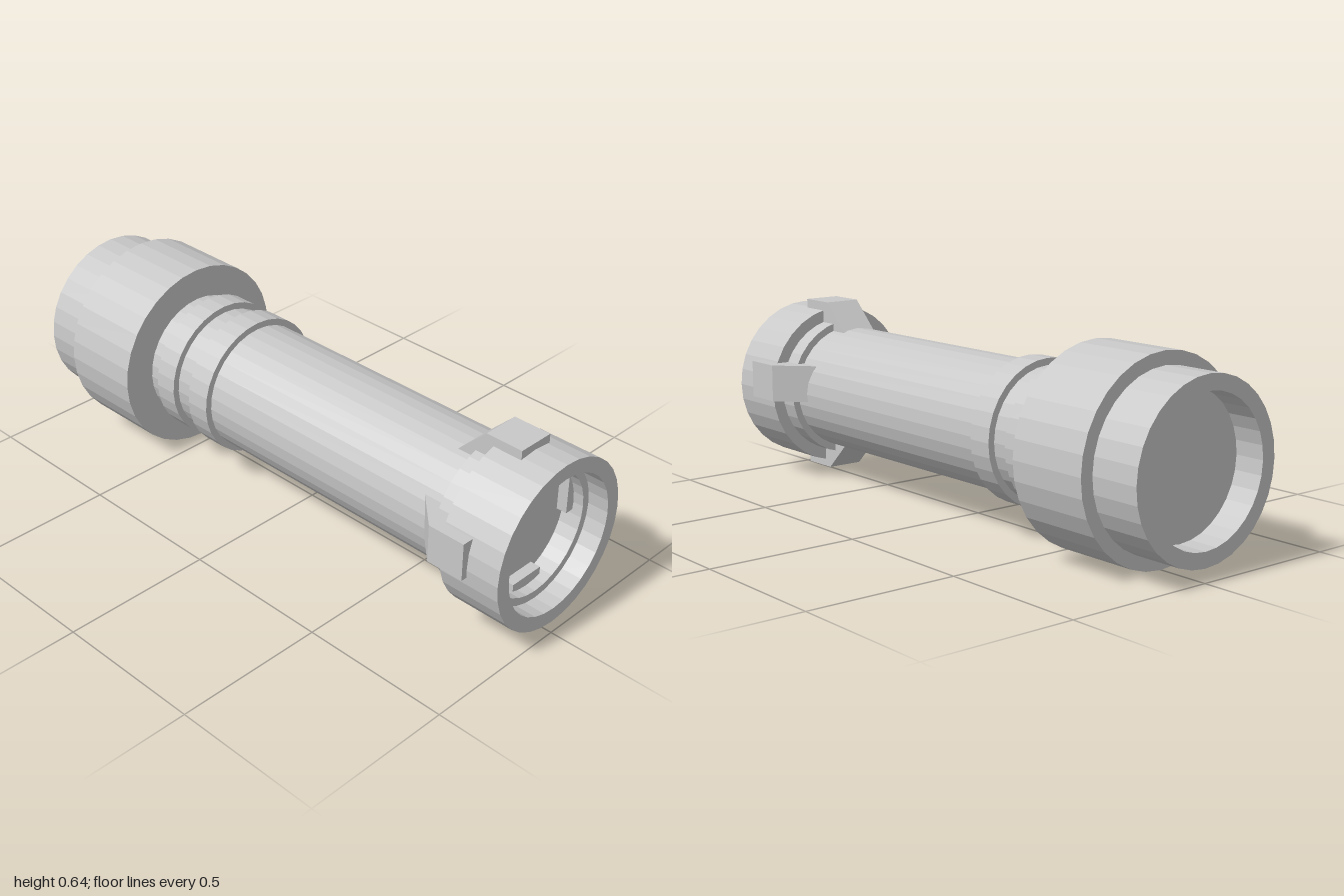
import * as THREE from 'three';

const AXIS_Y = 0.32;

export function createModel() {
  const model = new THREE.Group();
  model.name = 'cylinderHandle';
  const grey = new THREE.MeshStandardMaterial({ color: 0xc8c8c8, flatShading: true });
  grey.name = 'lightGrey';

  // All parts are built around the z axis, then lifted onto the ground
  const body = new THREE.Group();
  body.name = 'body';
  body.position.y = AXIS_Y;
  model.add(body);

  const add = (name, geometry, parent = body) => {
    const mesh = new THREE.Mesh(geometry, grey);
    mesh.name = name;
    parent.add(mesh);
    return mesh;
  };

  // Turned part from [radius, z] pairs, running from back to front
  const turned = (name, profile) => {
    const points = profile.map(([r, z]) => new THREE.Vector2(r, z));
    add(name, new THREE.LatheGeometry(points, 32).rotateX(Math.PI / 2));
  };

  // Hollow rear cap
  turned('rearCap', [[0, -0.9], [0.228, -0.9], [0.228, -1], [0.277, -1], [0.277, -0.83]]);
  // Wide collar
  turned('collar', [[0.277, -0.83], [0.32, -0.83], [0.32, -0.545], [0.213, -0.545]]);
  // Shaft with two raised bands
  turned('shaft', [
    [0.213, -0.545], [0.213, -0.49], [0.235, -0.49], [0.235, -0.41], [0.213, -0.41],
    [0.213, -0.335], [0.235, -0.335], [0.235, -0.25], [0.213, -0.25], [0.213, 0.725],
  ]);
  // Front sleeve with a narrow shoulder behind and a stepped recess
  turned('frontSleeve', [
    [0.213, 0.725], [0.237, 0.725], [0.237, 0.787], [0.277, 0.787], [0.277, 1],
    [0.228, 1], [0.228, 0.93], [0.202, 0.93], [0.202, 0.86], [0, 0.86],
  ]);

  // Clip side profile: x is the radius, y is the length along the body
  const clipShape = new THREE.Shape([
    [0.19, 0.65], [0.297, 0.76], [0.297, 0.888], [0.19, 0.888],
  ].map(([r, z]) => new THREE.Vector2(r, z)));
  const clipGeometry = new THREE.ExtrudeGeometry(clipShape, { depth: 0.126, bevelEnabled: false })
    .translate(0, 0, -0.063)
    .rotateX(Math.PI / 2);

  // Four clips outside and four small tabs in the recess; the side pairs sit a little high
  ['left', 'top', 'right', 'bottom'].forEach((side, i) => {
    const holder = new THREE.Group();
    holder.name = side + 'Fitting';
    holder.rotation.z = i * Math.PI / 2;
    holder.position.y = i % 2 === 0 ? 0.037 : 0.003;
    body.add(holder);
    add(side + 'Clip', clipGeometry, holder);
    add(side + 'Tab', new THREE.BoxGeometry(0.036, 0.126, 0.04), holder)
      .position.set(0.188, 0, 0.875);
  });

  return model;
}
